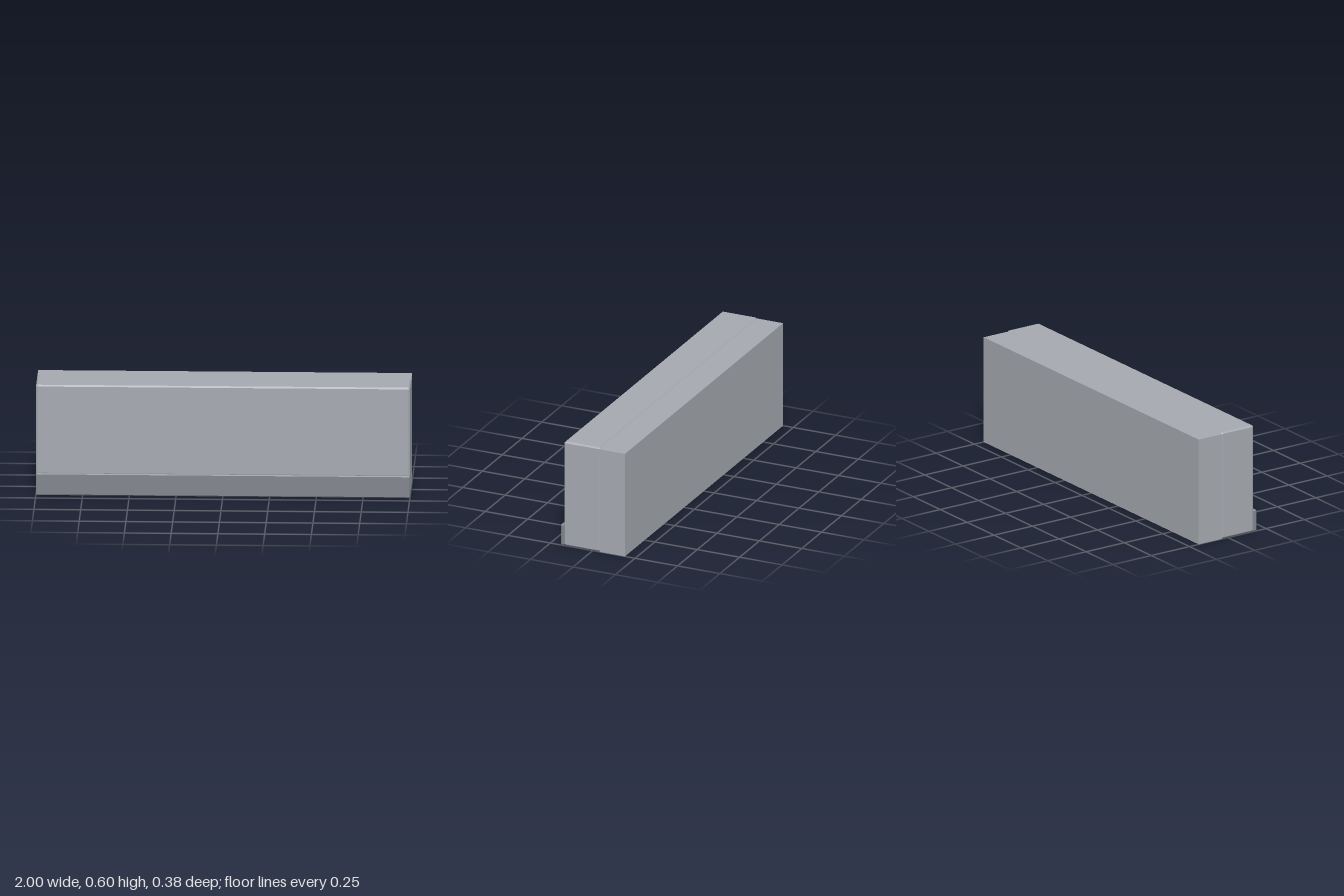
import * as THREE from 'three';
import { ConvexGeometry } from 'three/addons/geometries/ConvexGeometry.js';

// Box with all edges chamfered by c
function chamferedBox(w, h, d, c) {
  const points = [];
  for (const x of [-w / 2, w / 2]) for (const y of [-h / 2, h / 2]) for (const z of [-d / 2, d / 2]) {
    const sx = Math.sign(x) * c, sy = Math.sign(y) * c, sz = Math.sign(z) * c;
    points.push(
      new THREE.Vector3(x, y - sy, z - sz),
      new THREE.Vector3(x - sx, y, z - sz),
      new THREE.Vector3(x - sx, y - sy, z)
    );
  }
  return new ConvexGeometry(points);
}

export function createModel() {
  const model = new THREE.Group();
  const paleGrey = new THREE.MeshStandardMaterial({ color: 0xa5a9b0 });
  paleGrey.name = 'pale grey';
  const midGrey = new THREE.MeshStandardMaterial({ color: 0x80858d });
  midGrey.name = 'mid grey';

  // Places a full-width part standing on the ground between two depths
  function addPart(name, material, height, back, front, chamfer) {
    const depth = front - back;
    const geometry = chamfer
      ? chamferedBox(2, height, depth, chamfer)
      : new THREE.BoxGeometry(2, height, depth);
    const mesh = new THREE.Mesh(geometry, material);
    mesh.name = name;
    mesh.position.set(0, height / 2, (back + front) / 2);
    model.add(mesh);
  }

  // Plain rear block, chamfered main wall, and skirting strip along its foot
  addPart('rearBlock', paleGrey, 0.594, -0.19, -0.039, 0);
  addPart('mainWall', paleGrey, 0.602, -0.04, 0.17, 0.008);
  addPart('baseStrip', midGrey, 0.12, 0.168, 0.19, 0.005);

  return model;
}
